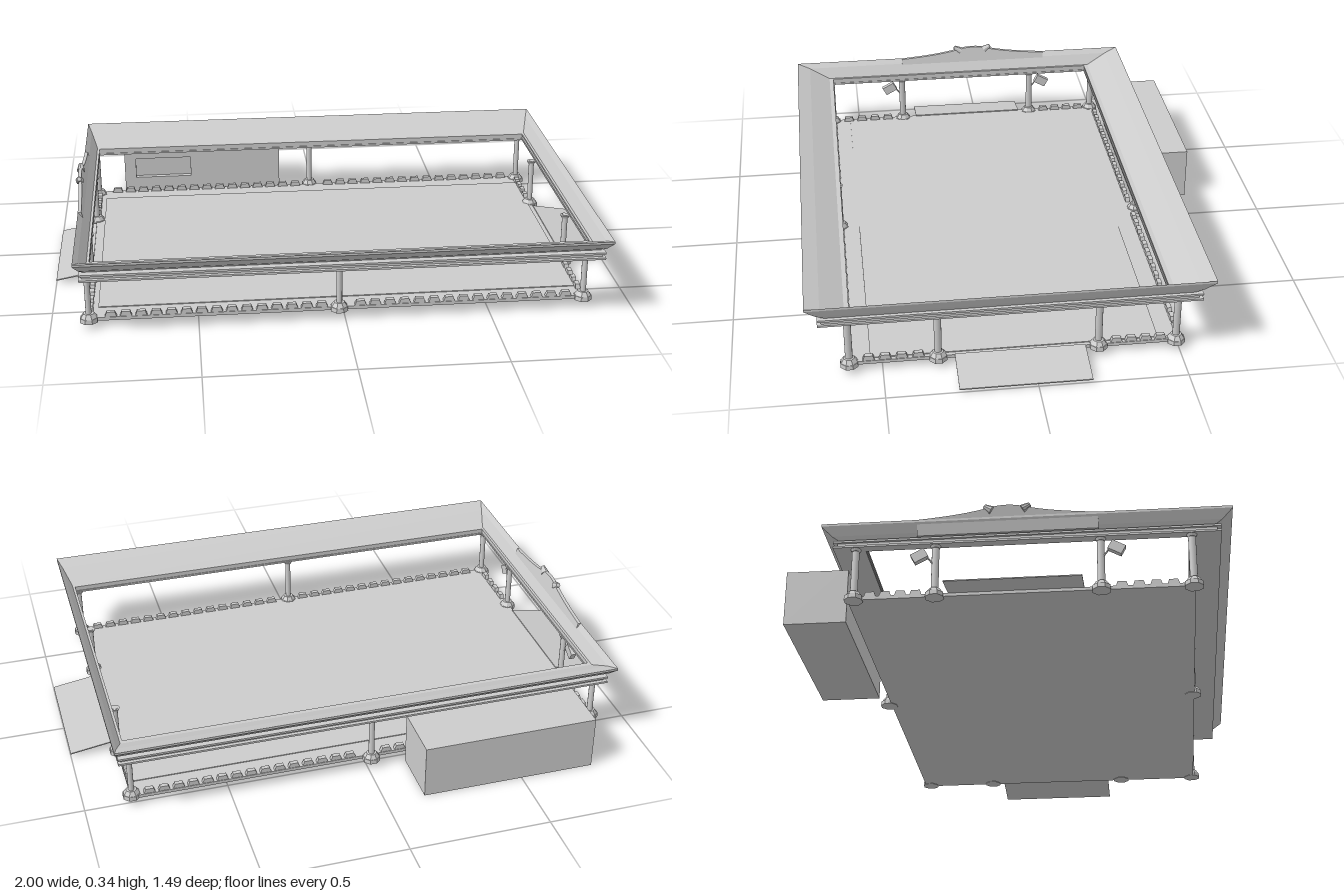
import * as THREE from 'three';

const mat = new THREE.MeshStandardMaterial({ color: 0xcccccc, flatShading: true });
const thin = new THREE.MeshStandardMaterial({ color: 0xcccccc, flatShading: true, side: THREE.DoubleSide });
const smooth = new THREE.MeshStandardMaterial({ color: 0xcccccc });

function add(parent, name, geometry, x = 0, y = 0, z = 0, material = mat) {
  const mesh = new THREE.Mesh(geometry, material);
  mesh.name = name;
  mesh.position.set(x, y, z);
  parent.add(mesh);
  return mesh;
}

// Box given by its limits on each axis
function block(parent, name, [x0, x1], [y0, y1], [z0, z1]) {
  return add(parent, name, new THREE.BoxGeometry(x1 - x0, y1 - y0, z1 - z0),
    (x0 + x1) / 2, (y0 + y1) / 2, (z0 + z1) / 2);
}

// Mitred rectangular frame; profile points are [half x, half z, y], up the outside and down the inside
function frameRing(profile) {
  const corners = [[1, 1], [-1, 1], [-1, -1], [1, -1]];
  const pos = [];
  const point = (k, i) => {
    const [hx, hz, y] = profile[i % profile.length];
    const [sx, sz] = corners[k % 4];
    return [sx * hx, y, sz * hz];
  };
  for (let k = 0; k < 4; k++) {
    for (let i = 0; i < profile.length; i++) {
      const a = point(k + 1, i), b = point(k, i), c = point(k, i + 1), d = point(k + 1, i + 1);
      pos.push(...a, ...b, ...c, ...a, ...c, ...d);
    }
  }
  const g = new THREE.BufferGeometry();
  g.setAttribute('position', new THREE.Float32BufferAttribute(pos, 3));
  g.computeVertexNormals();
  return g;
}

const slab = (hx, hz, ix, iz, y0, y1) =>
  frameRing([[hx, hz, y0], [hx, hz, y1], [ix, iz, y1], [ix, iz, y0]]);

// Round post with stepped base and small capital
function post(parent, x, z) {
  const g = new THREE.Group();
  g.name = 'post';
  g.position.set(x, 0, z);
  add(g, 'postBase', new THREE.CylinderGeometry(0.031, 0.032, 0.016, 8).rotateY(Math.PI / 8), 0, 0.028, 0);
  add(g, 'postPlinth', new THREE.CylinderGeometry(0.019, 0.029, 0.015, 8).rotateY(Math.PI / 8), 0, 0.0435, 0);
  add(g, 'postShaft', new THREE.CylinderGeometry(0.0125, 0.0125, 0.165, 12), 0, 0.13, 0, smooth).scale.x = 0.8;
  add(g, 'postCapital', new THREE.CylinderGeometry(0.018, 0.013, 0.01, 12), 0, 0.206, 0);
  parent.add(g);
}

// Row of low trapezoid bumpers, running along local x
function bumperRow(parent, length, x, z, turned) {
  const g = new THREE.Group();
  g.name = 'bumperRow';
  const s = new THREE.Shape([[-0.02, 0], [0.02, 0], [0.014, 0.017], [-0.014, 0.017]]
    .map(([a, b]) => new THREE.Vector2(a, b)));
  const geo = new THREE.ExtrudeGeometry(s, { depth: 0.016, bevelEnabled: false }).translate(0, 0, -0.008);
  const n = Math.round(length / 0.051);
  for (let i = 0; i < n; i++) add(g, 'bumper', geo, ((i + 0.5) / n - 0.5) * length, 0, 0);
  g.position.set(x, 0.034, z);
  if (turned) g.rotation.y = Math.PI / 2;
  parent.add(g);
}

export function createModel() {
  const root = new THREE.Group();
  root.name = 'arenaPavilion';

  // Floor
  block(root, 'floor', [-0.875, 0.84], [0.022, 0.034], [-0.51, 0.615]);
  block(root, 'drivingFloor', [-0.84, 0.825], [0.034, 0.037], [-0.43, 0.54]);

  // Posts: corners, middles of the long sides, and either side of the entrances
  for (const x of [-0.87, 0.835]) for (const z of [0.61, 0.315, -0.225, -0.49]) post(root, x, z);
  post(root, -0.018, 0.61);
  post(root, -0.018, -0.52);

  // Bumper rows between the posts
  for (const z of [0.605, -0.5]) {
    bumperRow(root, 0.77, -0.437, z, false);
    bumperRow(root, 0.77, 0.415, z, false);
  }
  for (const x of [-0.865, 0.83]) {
    bumperRow(root, 0.22, x, 0.463, true);
    bumperRow(root, 0.2, x, -0.362, true);
  }

  // Thin sloping entrance ramps
  for (const s of [-1, 1]) {
    const inner = s < 0 ? 0.87 : 0.84;
    const ramp = new THREE.BoxGeometry(1, 0.004, 0.44);
    const p = ramp.attributes.position;
    for (let i = 0; i < p.count; i++) {
      const outer = p.getX(i) * s > 0;
      p.setXYZ(i, s * (outer ? 1 : inner), p.getY(i) + (outer ? 0.011 : 0.036), p.getZ(i) + 0.04);
    }
    ramp.computeVertexNormals();
    add(root, 'ramp', ramp, 0, 0, 0, thin);
  }

  // Roof frame: ledges, recessed band and flared cornice
  const roof = new THREE.Group();
  roof.name = 'roofFrame';
  roof.position.set(-0.005, 0, 0.071);
  add(roof, 'lowerLedge', slab(0.885, 0.635, 0.853, 0.53, 0.21, 0.217));
  add(roof, 'band', slab(0.877, 0.622, 0.855, 0.533, 0.217, 0.229));
  add(roof, 'upperLedge', slab(0.885, 0.635, 0.853, 0.53, 0.229, 0.236));
  add(roof, 'cornice', frameRing([
    [0.872, 0.61, 0.236], [0.884, 0.64, 0.254], [0.9, 0.674, 0.285], [0.9, 0.674, 0.293],
    [0.885, 0.624, 0.275], [0.862, 0.546, 0.236]]));
  root.add(roof);

  // Raised gable sign on the right side, leaning outward
  const gable = new THREE.Shape();
  gable.moveTo(-0.31, 0.24);
  gable.lineTo(0.285, 0.24);
  gable.lineTo(0.285, 0.293);
  gable.quadraticCurveTo(0.13, 0.303, 0.05, 0.322);
  gable.quadraticCurveTo(-0.013, 0.338, -0.08, 0.32);
  gable.quadraticCurveTo(-0.16, 0.302, -0.31, 0.293);
  const sign = new THREE.ExtrudeGeometry(gable, { depth: 0.012, bevelEnabled: false, curveSegments: 8 });
  sign.rotateY(Math.PI / 2);
  const sp = sign.attributes.position;
  for (let i = 0; i < sp.count; i++) sp.setX(i, sp.getX(i) - 0.892 - (sp.getY(i) - 0.24) * 0.25);
  sign.computeVertexNormals();
  add(root, 'gableSign', sign);

  // Spotlights on the gable
  for (const s of [-1, 1]) {
    const lamp = add(root, 'spotlight', new THREE.CylinderGeometry(0.008, 0.015, 0.03, 10),
      -0.908, 0.322, 0.013 + s * 0.062);
    lamp.rotation.x = s * 1.0;
  }

  // Loudspeakers on brackets beside the entrance posts
  for (const s of [-1, 1]) {
    const mid = 0.045;
    const speaker = add(root, 'loudspeaker', new THREE.BoxGeometry(0.02, 0.034, 0.05),
      -0.878, 0.17, mid + s * 0.322);
    speaker.rotation.x = s * 0.5;
    const bracket = add(root, 'speakerBracket', new THREE.CylinderGeometry(0.003, 0.003, 0.055, 6),
      -0.874, 0.153, mid + s * 0.285);
    bracket.rotation.x = s * 0.65;
  }

  // Control booth with a recessed window
  const booth = new THREE.Group();
  booth.name = 'controlBooth';
  block(booth, 'boothBody', [-0.765, -0.14], [0, 0.195], [-0.745, -0.555]);
  const wall = new THREE.Shape([[-0.765, 0], [-0.14, 0], [-0.14, 0.195], [-0.765, 0.195]]
    .map(([x, y]) => new THREE.Vector2(x, y)));
  wall.holes.push(new THREE.Path([[-0.72, 0.08], [-0.72, 0.16], [-0.5, 0.16], [-0.5, 0.08]]
    .map(([x, y]) => new THREE.Vector2(x, y))));
  add(booth, 'boothFront', new THREE.ExtrudeGeometry(wall, { depth: 0.02, bevelEnabled: false }), 0, 0, -0.555);
  root.add(booth);

  return root;
}
